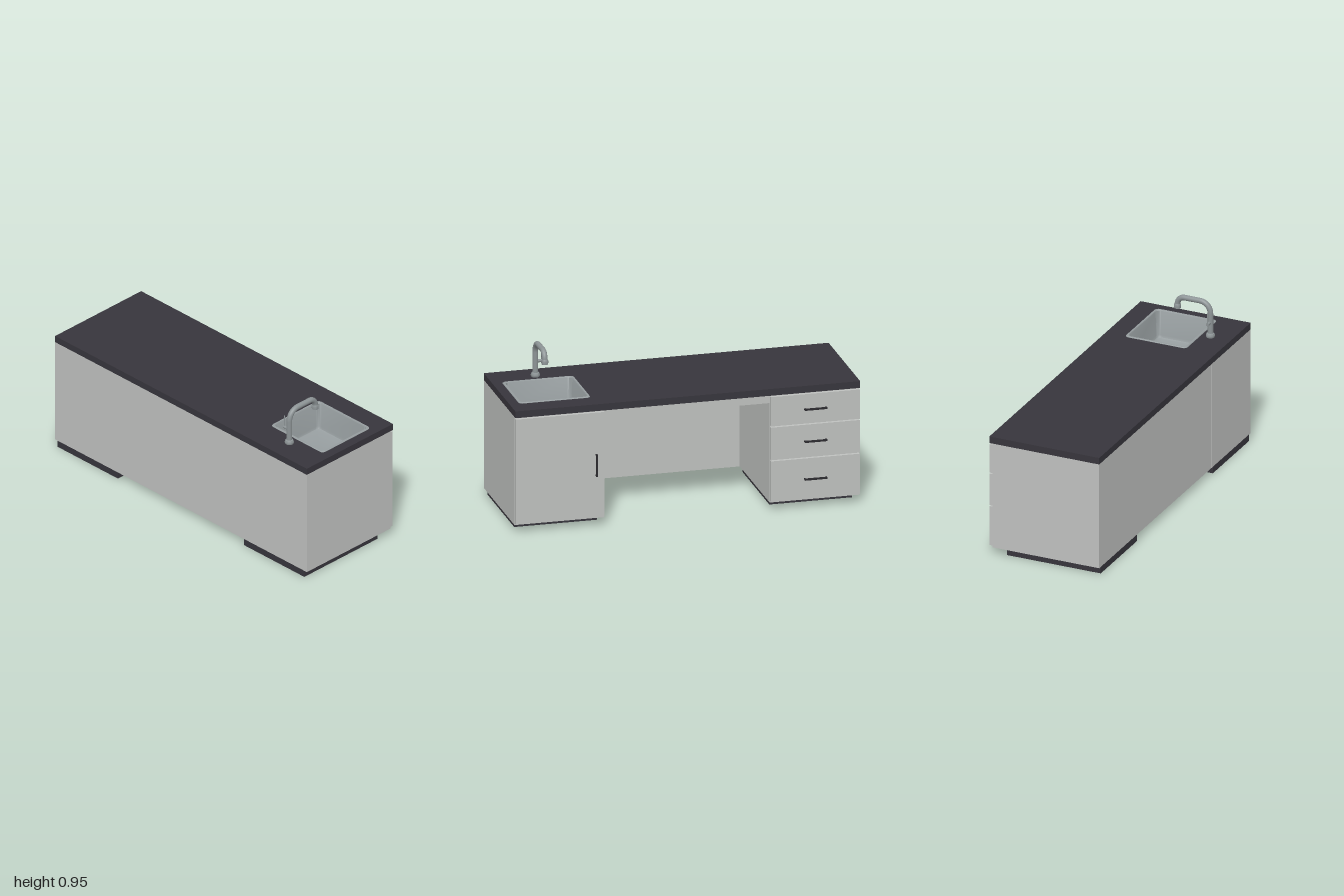
import * as THREE from 'three';
import { toCreasedNormals } from 'three/addons/utils/BufferGeometryUtils.js';

const mat = (name, color) => {
  const m = new THREE.MeshStandardMaterial({ color });
  m.name = name;
  return m;
};

export function createModel() {
  const cabinet = mat('cabinet grey', 0xbfc1bf);
  const dark = mat('worktop charcoal', 0x37353c);
  const steel = mat('sink steel', 0x959c9e);
  const chrome = mat('tap metal', 0x8c9395);
  const black = mat('handle black', 0x2c2b2f);

  const root = new THREE.Group();
  root.name = 'kitchenIsland';

  const add = (parent, name, geo, material) => {
    const mesh = new THREE.Mesh(geo, material);
    mesh.name = name;
    parent.add(mesh);
    return mesh;
  };
  // Box given by its extents on each axis
  const box = (parent, name, material, [x0, x1], [y0, y1], [z0, z1]) => {
    const mesh = add(parent, name, new THREE.BoxGeometry(x1 - x0, y1 - y0, z1 - z0), material);
    mesh.position.set((x0 + x1) / 2, (y0 + y1) / 2, (z0 + z1) / 2);
    return mesh;
  };
  const group = (name) => {
    const g = new THREE.Group();
    g.name = name;
    root.add(g);
    return g;
  };

  // Sink opening
  const sink = { x: 0.7375, z: -0.02, hx: 0.2075, hz: 0.19 };

  // Worktop with a hole for the basin
  const top = new THREE.Shape([[-1, -0.33], [1, -0.33], [1, 0.35], [-1, 0.35]].map((p) => new THREE.Vector2(...p)));
  const hw = sink.hx - 0.01, hd = sink.hz - 0.01;
  top.holes.push(new THREE.Path([[-hw, -hd], [-hw, hd], [hw, hd], [hw, -hd]]
    .map(([x, z]) => new THREE.Vector2(sink.x + x, sink.z + z))));
  const topGeo = new THREE.ExtrudeGeometry(top, { depth: 0.04, bevelEnabled: false });
  topGeo.rotateX(Math.PI / 2);
  add(root, 'worktop', topGeo, dark).position.y = 0.72;

  // Two hollow cabinets on plinths
  const T = 0.018, Y = [0.04, 0.68];
  for (const s of [-1, 1]) {
    const g = group(s > 0 ? 'sinkCabinet' : 'drawerCabinet');
    const span = (a, b) => (s > 0 ? [a, b] : [-b, -a]);
    box(g, 'plinth', dark, span(0.5, 0.98), [0, 0.04], [-0.23, 0.35]);
    box(g, 'innerSide', cabinet, span(0.48, 0.48 + T), Y, [-0.31, 0.35]);
    box(g, 'outerSide', cabinet, span(1 - T, 1), Y, [-0.31, 0.35]);
    const inside = span(0.48 + T, 1 - T);
    box(g, 'bottom', cabinet, inside, [0.04, 0.04 + T], [-0.31, 0.35]);
    box(g, 'frontPanel', cabinet, inside, [0.04 + T, 0.68], [0.35 - T, 0.35]);
    box(g, 'topRail', cabinet, inside, [0.66, 0.68], [-0.31, -0.25]);
  }

  // Panel and rail across the knee space
  box(root, 'middlePanel', cabinet, [-0.479, 0.479], Y, [0.332, 0.35]);
  box(root, 'middleRail', cabinet, [-0.48, 0.48], [0.63, 0.68], [-0.31, -0.26]);

  // Bar handle on two posts
  const handle = (x, y, vertical) => {
    const g = group('handle');
    box(g, 'bar', black, [-0.065, 0.065], [-0.005, 0.005], [-0.35, -0.34]);
    for (const s of [-1, 1]) {
      box(g, 'post', black, [s * 0.061 - 0.004, s * 0.061 + 0.004], [-0.004, 0.004], [-0.341, -0.329]);
    }
    g.position.set(x, y, 0);
    if (vertical) g.rotation.z = Math.PI / 2;
  };

  // Door and drawer fronts
  box(root, 'door', cabinet, [0.483, 0.998], [0.05, 0.671], [-0.33, -0.31]);
  handle(0.53, 0.361, true);
  for (const [y0, y1] of [[0.05, 0.29], [0.297, 0.49], [0.497, 0.671]]) {
    box(root, 'drawerFront', cabinet, [-0.998, -0.483], [y0, y1], [-0.33, -0.31]);
    handle(-0.74, (y0 + y1) / 2, false);
  }

  // Basin: rounded-rectangle rings from the rim down to the floor
  const profile = [[0, 0.719], [0, 0.722], [0.003, 0.725], [0.012, 0.725], [0.015, 0.721],
    [0.02, 0.575], [0.025, 0.562], [0.037, 0.556]];
  const ring = (inset, y) => {
    const pts = [], r = 0.022;
    const cx = sink.hx - inset - r, cz = sink.hz - inset - r;
    [[1, 1], [-1, 1], [-1, -1], [1, -1]].forEach(([sx, sz], q) => {
      for (let i = 0; i <= 4; i++) {
        const a = (q + i / 4) * Math.PI / 2;
        pts.push([sink.x + sx * cx + r * Math.cos(a), y, sink.z + sz * cz + r * Math.sin(a)]);
      }
    });
    return pts;
  };
  const rings = profile.map((p) => ring(...p));
  const n = rings[0].length, pos = [];
  const last = rings.length - 1, centre = [sink.x, profile[last][1], sink.z];
  for (let j = 0; j < n; j++) {
    const k = (j + 1) % n;
    for (let i = 0; i < last; i++) {
      const a = rings[i][j], b = rings[i][k], c = rings[i + 1][j], d = rings[i + 1][k];
      pos.push(...a, ...c, ...b, ...b, ...c, ...d);
    }
    pos.push(...rings[last][j], ...centre, ...rings[last][k]);
  }
  const basin = new THREE.BufferGeometry();
  basin.setAttribute('position', new THREE.Float32BufferAttribute(pos, 3));
  basin.computeVertexNormals();
  add(root, 'basin', toCreasedNormals(basin, 0.7), steel);

  // Tap with a bent spout
  const tap = group('tap');
  tap.position.set(0.735, 0, 0.225);
  const v = (y, z) => new THREE.Vector3(0, y, z);
  const path = new THREE.CurvePath();
  path.add(new THREE.LineCurve3(v(0.72, 0), v(0.865, 0)));
  path.add(new THREE.CubicBezierCurve3(v(0.865, 0), v(0.901, 0), v(0.93, -0.029), v(0.93, -0.065)));
  path.add(new THREE.LineCurve3(v(0.93, -0.065), v(0.93, -0.16)));
  path.add(new THREE.CubicBezierCurve3(v(0.93, -0.16), v(0.93, -0.185), v(0.91, -0.204), v(0.88, -0.204)));
  add(tap, 'spout', new THREE.TubeGeometry(path, 64, 0.016, 20), chrome);

  const lathe = (name, pts) => add(tap, name,
    toCreasedNormals(new THREE.LatheGeometry(pts.map((p) => new THREE.Vector2(...p)), 24), 0.6), chrome);
  lathe('base', [[0.024, 0.72], [0.026, 0.726], [0.026, 0.732], [0.022, 0.742], [0.016, 0.745]]);
  lathe('nozzle', [[0, 0.86], [0.019, 0.86], [0.02, 0.88], [0.015, 0.89]]).position.z = -0.204;

  // Side lever
  const stub = add(tap, 'leverStub', new THREE.CylinderGeometry(0.009, 0.009, 0.03, 16), chrome);
  stub.rotation.z = Math.PI / 2;
  stub.position.set(-0.027, 0.81, 0);
  const lever = add(tap, 'lever', new THREE.CylinderGeometry(0.0035, 0.0035, 0.085, 10), chrome);
  lever.position.set(-0.038, 0.838, 0);

  return root;
}
